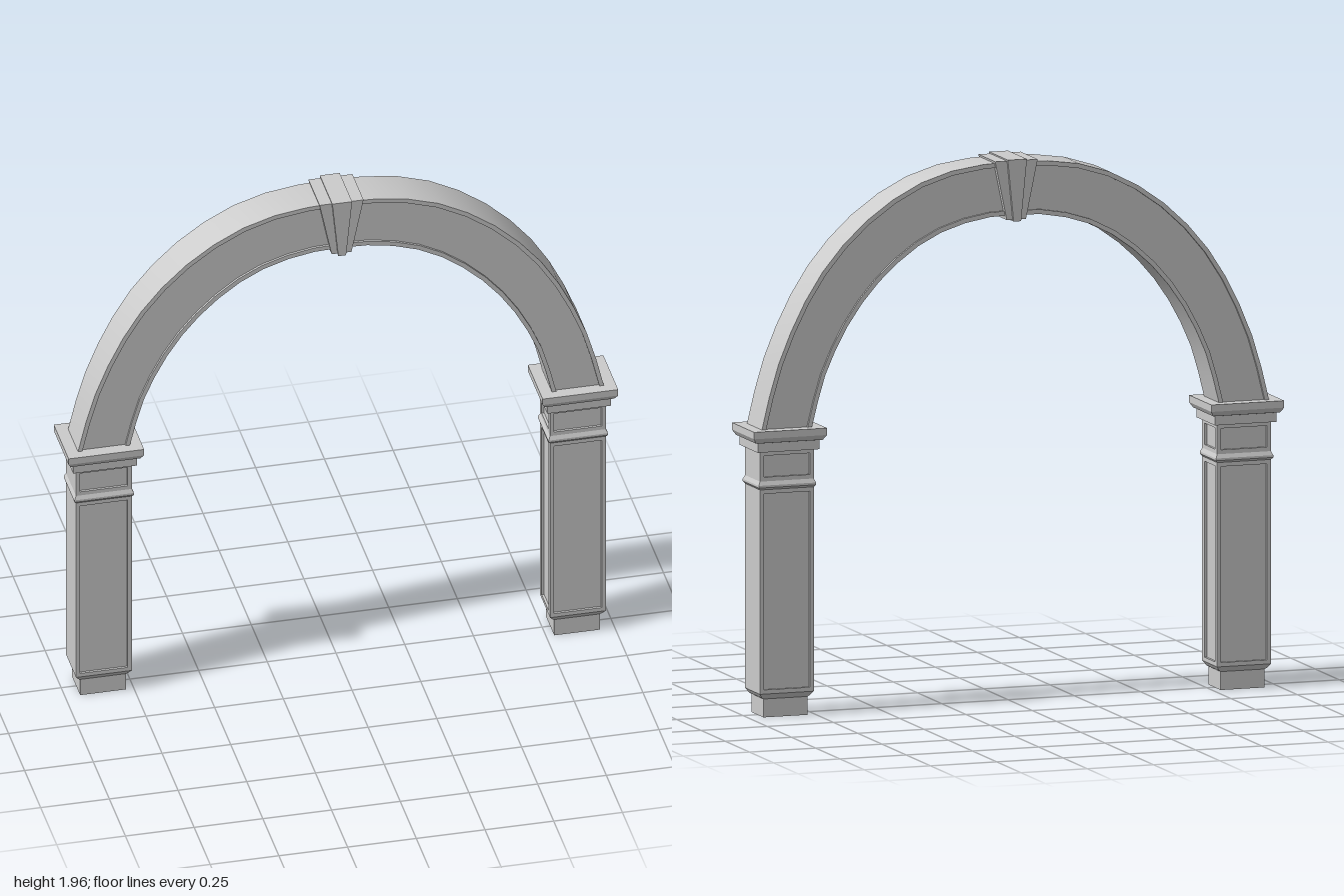
import * as THREE from 'three';
import { toCreasedNormals } from 'three/addons/utils/BufferGeometryUtils.js';

const stone = new THREE.MeshStandardMaterial({ color: 0xcccccc });
const openStone = new THREE.MeshStandardMaterial({ color: 0xcccccc, side: THREE.DoubleSide });
const PILLAR_X = 0.8625, HX = 0.1015, HZ = 0.077, RECESS = 0.009, RIM = 0.015;

function addMesh(parent, name, geometry, material = stone) {
  const mesh = new THREE.Mesh(geometry, material);
  mesh.name = name;
  parent.add(mesh);
  return mesh;
}

// Skin between closed loops of points [x, y, z]
function loft(loops, crease) {
  const pos = [];
  for (let i = 0; i < loops.length - 1; i++) {
    const n = loops[i].length;
    for (let j = 0; j < n; j++) {
      const k = (j + 1) % n;
      const a = loops[i][j], b = loops[i][k], c = loops[i + 1][k], d = loops[i + 1][j];
      pos.push(...a, ...b, ...c, ...a, ...c, ...d);
    }
  }
  const g = new THREE.BufferGeometry();
  g.setAttribute('position', new THREE.Float32BufferAttribute(pos, 3));
  g.computeVertexNormals();
  return crease ? toCreasedNormals(g, crease) : g;
}

// Raised rectangular border around a sunken panel
function frameGeometry(w, h) {
  const rect = (T, x, y) => new T([
    new THREE.Vector2(-x, -y), new THREE.Vector2(x, -y),
    new THREE.Vector2(x, y), new THREE.Vector2(-x, y)]);
  const shape = rect(THREE.Shape, w / 2, h / 2);
  shape.holes.push(rect(THREE.Path, w / 2 - RIM, h / 2 - RIM));
  return new THREE.ExtrudeGeometry(shape, { depth: RECESS, bevelEnabled: false });
}

function createPillar(side) {
  const pillar = new THREE.Group();
  pillar.name = side > 0 ? 'leftPillar' : 'rightPillar';
  pillar.position.x = side * PILLAR_X;

  // Moulded body, open underneath: [half width, height]
  const core = HX - RECESS;
  const profile = [
    [0.083, 0], [0.083, 0.066], [0.09, 0.07], [HX, 0.086], [core, 0.086],
    [core, 0.82], [HX, 0.82], [0.108, 0.828], [0.108, 0.836], [HX, 0.85], [core, 0.85],
    [core, 0.957], [0.116, 0.957], [0.116, 0.99], [0.126, 0.992], [0.1375, 1.01],
    [0.1375, 1.035], [0, 1.035]];
  const loops = profile.map(([x, y]) => {
    const z = Math.max(0, x - (x > 0.11 ? 0.022 : HX - HZ) + (x < 0.084 ? 0.004 : 0));
    return [[x, y, z], [x, y, -z], [-x, y, -z], [-x, y, z]];
  });
  addMesh(pillar, 'pillarBody', loft(loops), openStone);

  // Sunken panels on front, back and inner face; plain outer face
  for (const [part, y0, y1] of [['shaft', 0.086, 0.82], ['neck', 0.85, 0.957]]) {
    const y = (y0 + y1) / 2, h = y1 - y0;
    for (const s of [1, -1]) {
      const f = addMesh(pillar, part + (s > 0 ? 'FrontFrame' : 'BackFrame'), frameGeometry(2 * HX, h));
      f.position.set(0, y, s * (HZ - RECESS));
      f.rotation.y = s > 0 ? 0 : Math.PI;
    }
    const inner = addMesh(pillar, part + 'InnerFrame', frameGeometry(2 * (HZ - RECESS), h));
    inner.position.set(-side * core, y, 0);
    inner.rotation.y = -side * Math.PI / 2;
    const outer = addMesh(pillar, part + 'OuterFace',
      new THREE.BoxGeometry(RECESS, h, 2 * (HZ - RECESS)));
    outer.position.set(side * (HX - RECESS / 2), y, 0);
  }
  return pillar;
}

// Smooth curve through a half arch and its mirror image
function archCurve(half) {
  const right = half.map(([x, y]) => new THREE.Vector3(x, y, 0));
  const left = right.slice(0, -1).reverse().map(p => new THREE.Vector3(-p.x, p.y, 0));
  return new THREE.CatmullRomCurve3([...right, ...left], false, 'centripetal');
}

function archGeometry() {
  const outer = archCurve([[0.957, 1.034], [0.9, 1.25], [0.8, 1.475], [0.7, 1.625],
    [0.56, 1.765], [0.4, 1.868], [0.25, 1.922], [0, 1.946]]);
  const inner = archCurve([[0.768, 1.034], [0.715, 1.225], [0.61, 1.425], [0.48, 1.575],
    [0.32, 1.688], [0.15, 1.743], [0, 1.754]]);
  // Cross-section with rims: [fraction from outer to inner edge, z]
  const a = 0.085, zi = HZ - RECESS;
  const front = [[1, HZ], [1 - a, HZ], [1 - a, zi], [a, zi], [a, HZ], [0, HZ]];
  const section = [...front, ...front.slice().reverse().map(([t, z]) => [t, -z])];
  const steps = 24, loops = [];
  for (let i = 0; i <= steps; i++) {
    const o = outer.getPointAt(i / steps), n = inner.getPointAt(i / steps);
    loops.push(section.map(([t, z]) => {
      const p = o.clone().lerp(n, t);
      return [p.x, p.y, z];
    }));
  }
  return loft(loops, 0.6);
}

// Tapered block, wider at the top
function wedge(top, bottom, y0, y1, halfDepth) {
  const shape = new THREE.Shape([
    new THREE.Vector2(-bottom, y0), new THREE.Vector2(bottom, y0),
    new THREE.Vector2(top, y1), new THREE.Vector2(-top, y1)]);
  return new THREE.ExtrudeGeometry(shape, { depth: 2 * halfDepth, bevelEnabled: false })
    .translate(0, 0, -halfDepth);
}

export function createModel() {
  const model = new THREE.Group();
  model.name = 'archway';
  for (const side of [1, -1]) model.add(createPillar(side));
  addMesh(model, 'arch', archGeometry());

  // Keystone: side block with a prouder centre block
  const keystone = new THREE.Group();
  keystone.name = 'keystone';
  addMesh(keystone, 'keystoneBody', wedge(0.08, 0.036, 1.738, 1.95, 0.087));
  addMesh(keystone, 'keystoneCentre', wedge(0.036, 0.014, 1.733, 1.955, 0.097));
  model.add(keystone);
  return model;
}
